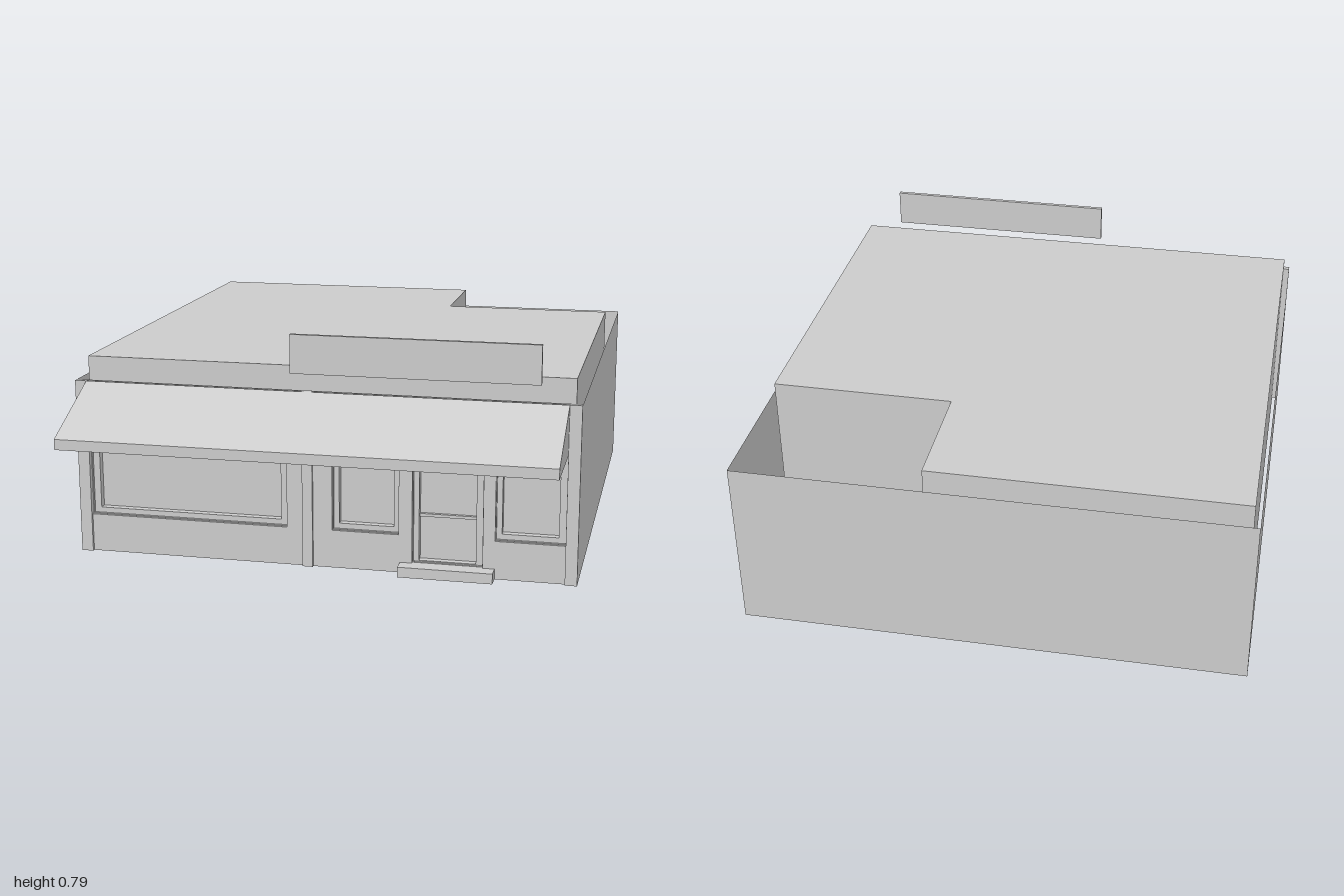
import * as THREE from 'three';

const grey = new THREE.MeshStandardMaterial({ color: 0xcccccc, flatShading: true, side: THREE.DoubleSide });

function addMesh(group, name, geometry) {
  const mesh = new THREE.Mesh(geometry, grey);
  mesh.name = name;
  group.add(mesh);
  return mesh;
}

// Box given by its limits on each axis
function block(group, name, x0, x1, y0, y1, z0, z1) {
  addMesh(group, name, new THREE.BoxGeometry(x1 - x0, y1 - y0, z1 - z0))
    .position.set((x0 + x1) / 2, (y0 + y1) / 2, (z0 + z1) / 2);
}

function corners([x0, x1, y0, y1]) {
  return [[x0, y0], [x1, y0], [x1, y1], [x0, y1]].map(([x, y]) => new THREE.Vector2(x, y));
}

// Upright slab with rectangular openings
function slab(group, name, rect, holes, z0, z1) {
  const shape = new THREE.Shape(corners(rect));
  for (const hole of holes) shape.holes.push(new THREE.Path(corners(hole)));
  const geometry = new THREE.ExtrudeGeometry(shape, { depth: z1 - z0, bevelEnabled: false });
  geometry.translate(0, 0, z0);
  addMesh(group, name, geometry);
}

function panel(group, name, points) {
  const geometry = new THREE.BufferGeometry();
  geometry.setAttribute('position', new THREE.Float32BufferAttribute(points.flat(), 3));
  geometry.setIndex(points.length === 3 ? [0, 1, 2] : [0, 1, 2, 0, 2, 3]);
  geometry.computeVertexNormals();
  addMesh(group, name, geometry);
}

export function createModel() {
  const model = new THREE.Group();
  model.name = 'shop';

  // Thin outer walls, open above and below
  const W = 0.85, H = 0.6, BACK = -1, FRONT = 0.715;
  panel(model, 'backWall', [[W, 0, BACK], [-W, 0, BACK], [-W, H, BACK], [W, H, BACK]]);
  panel(model, 'leftWall', [[W, 0, FRONT], [W, 0, BACK], [W, H, BACK], [W, H, FRONT]]);
  panel(model, 'rightWall', [[-W, 0, BACK], [-W, 0, FRONT], [-W, H, FRONT], [-W, H, BACK]]);

  // L-shaped inner block carrying the raised roof
  const plan = new THREE.Shape([
    [-0.83, -0.64], [0.825, -0.64], [0.825, 0.58], [0.21, 0.58], [0.21, 0.985], [-0.83, 0.985],
  ].map(([x, y]) => new THREE.Vector2(x, y)));
  const core = new THREE.ExtrudeGeometry(plan, { depth: 0.64, bevelEnabled: false });
  core.rotateX(-Math.PI / 2);
  core.translate(0, 0.03, 0);
  addMesh(model, 'roofBlock', core);

  // Shop front with recessed windows and door
  const openings = [
    { name: 'displayWindow', outer: [-0.81, -0.12, 0.13, 0.46], inner: [-0.785, -0.145, 0.15, 0.44] },
    { name: 'middleWindow', outer: [0.035, 0.26, 0.13, 0.46], inner: [0.055, 0.24, 0.15, 0.425] },
    { name: 'door', outer: [0.305, 0.54, 0.035, 0.46], inner: [0.325, 0.515, 0.04, 0.42] },
    { name: 'sideWindow', outer: [0.58, 0.81, 0.13, 0.46], inner: [0.6, 0.785, 0.15, 0.425] },
  ];
  slab(model, 'frontWall', [-W, W, 0, H], openings.map((o) => o.outer), 0.695, 0.705);
  for (const { name, outer, inner } of openings) {
    const group = new THREE.Group();
    group.name = name;
    slab(group, name + 'Frame', outer, [inner], 0.64, 0.685);
    slab(group, name + 'Reveal', outer, [[outer[0] + 0.002, outer[1] - 0.002, outer[2] + 0.002, outer[3] - 0.002]], 0.685, 0.695);
    const [x0, x1, y0, y1] = inner;
    panel(group, name + 'Pane', [[x0, y0, 0.66], [x1, y0, 0.66], [x1, y1, 0.66], [x0, y1, 0.66]]);
    if (name === 'door') block(group, 'doorRail', x0, x1, 0.188, 0.198, 0.66, 0.672);
    model.add(group);
  }

  // Pilasters
  for (const [x0, x1] of [[-W, -0.81], [-0.065, -0.03], [0.81, W]]) {
    block(model, 'pilaster', x0, x1, 0, H, 0.7, FRONT);
  }

  // Doorstep
  block(model, 'doorstep', 0.265, 0.58, 0, 0.035, 0.69, 0.755);

  // Hollow awning: slope, valance and two cheeks
  const A = 0.81;
  panel(model, 'awningSlope', [[-A, 0.47, 1], [A, 0.47, 1], [A, H, FRONT], [-A, H, FRONT]]);
  panel(model, 'awningValance', [[-A, 0.435, 1], [A, 0.435, 1], [A, 0.47, 1], [-A, 0.47, 1]]);
  for (const x of [-A, A]) {
    const cheek = [[x, 0.435, 1], [x, 0.435, FRONT], [x, H, FRONT], [x, 0.47, 1]];
    panel(model, 'awningCheek', x > 0 ? cheek : cheek.reverse());
  }

  // Sign board standing above the awning
  block(model, 'signBoard', -0.1, 0.72, 0.66, 0.79, 0.708, 0.722);

  return model;
}
